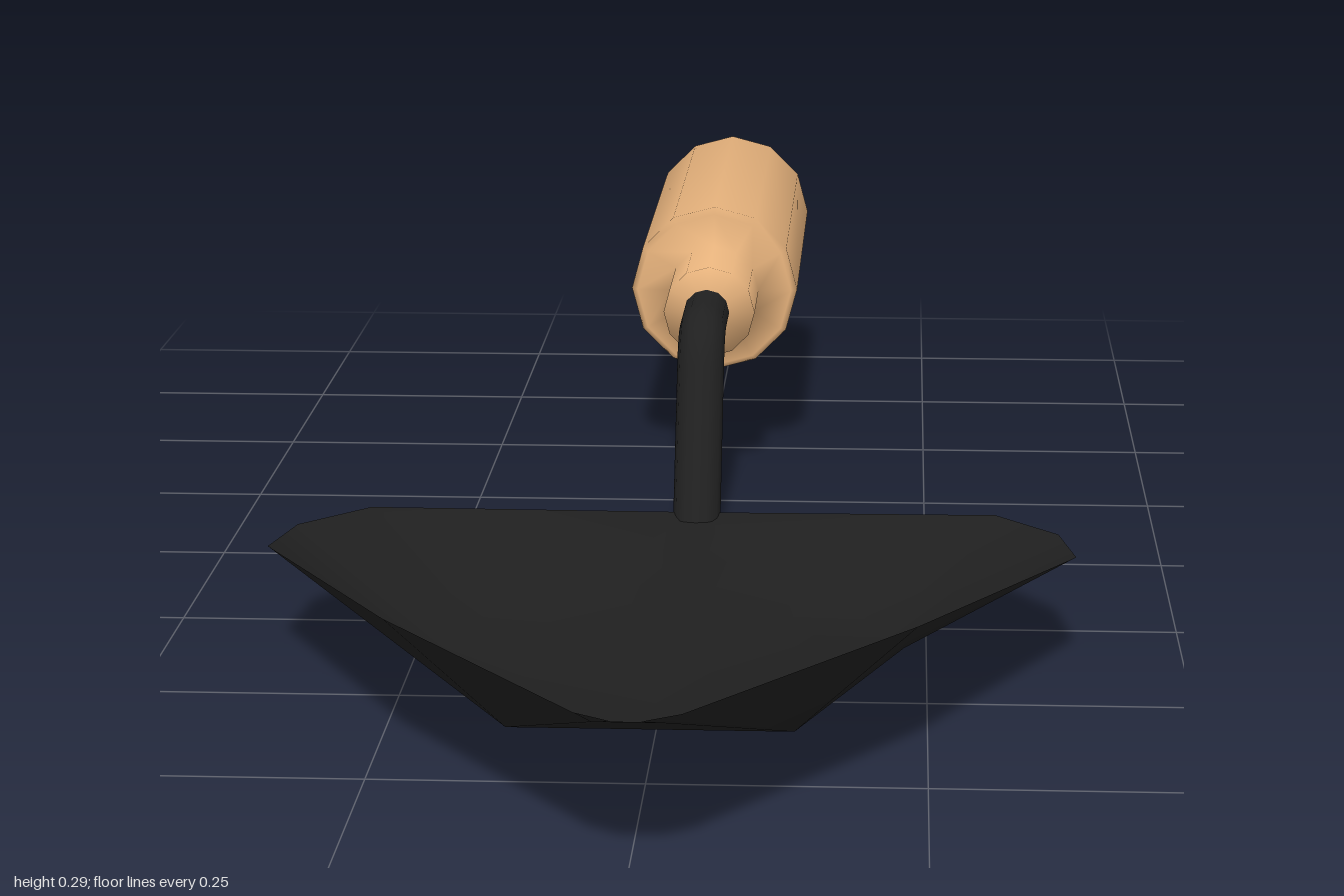
import * as THREE from 'three';

const steel = new THREE.MeshStandardMaterial({ color: 0x202020, side: THREE.DoubleSide });
const wood = new THREE.MeshStandardMaterial({ color: 0xe6b27c });

function add(group, name, geometry, material) {
  const mesh = new THREE.Mesh(geometry, material);
  mesh.name = name;
  group.add(mesh);
  return mesh;
}

// Dished sheet: each station is z, rim half width, rim y, floor half width, floor y
function bladeGeometry() {
  const stations = [
    [-0.15, 0.02, 0.011, 0.012, 0.006],
    [0, 0.165, 0.051, 0.05, 0.009],
    [0.15, 0.32, 0.091, 0.13, 0.011],
    [0.26, 0.38, 0.101, 0.185, 0.012],
    [0.37, 0.393, 0.108, 0.228, 0.014],
    [0.69, 0.24, 0.13, 0.13, 0.03],
    [0.98, 0.045, 0.137, 0.03, 0.129],
    [1, 0.02, 0.138, 0.012, 0.136],
  ];
  const positions = [], index = [];
  stations.forEach(([z, rx, ry, fx, fy], i) => {
    positions.push(-rx, ry, z, -fx, fy, z, 0, fy, z, fx, fy, z, rx, ry, z);
    if (i === 0) return;
    for (let j = 0; j < 4; j++) {
      const b = i * 5 + j, a = b - 5;
      index.push(a, b, b + 1, a, b + 1, a + 1);
    }
  });
  const g = new THREE.BufferGeometry();
  g.setAttribute('position', new THREE.Float32BufferAttribute(positions, 3));
  g.setIndex(index);
  g.computeVertexNormals();
  return g;
}

// Bent rod whose first ring is laid flat on the ground
function tangGeometry(foot, radius, sides) {
  const bendStart = new THREE.Vector3(0, 0.158, -0.226);
  const corner = new THREE.Vector3(0, 0.192, -0.246);
  const bendEnd = new THREE.Vector3(0, 0.192, -0.285);
  const path = new THREE.CurvePath();
  path.add(new THREE.LineCurve3(foot, bendStart));
  path.add(new THREE.QuadraticBezierCurve3(bendStart, corner, bendEnd));
  path.add(new THREE.LineCurve3(bendEnd, new THREE.Vector3(0, 0.192, -0.38)));
  const g = new THREE.TubeGeometry(path, 28, radius, sides);
  for (let i = 0; i <= sides; i++) g.attributes.position.setY(i, foot.y);
  return g;
}

export function createModel() {
  const model = new THREE.Group();
  model.name = 'trowel';

  add(model, 'blade', bladeGeometry(), steel);

  // Tang rising from the heel of the blade into the handle
  const foot = new THREE.Vector3(0, 0, -0.142);
  add(model, 'tang', tangGeometry(foot, 0.026, 12), steel);
  const cap = add(model, 'tangFoot', new THREE.CircleGeometry(0.025, 12), steel);
  cap.position.copy(foot);
  cap.rotation.x = Math.PI / 2;

  // Turned grip with a narrow collar, profile runs from the butt forward
  const profile = [
    [0, 0], [0.097, 0], [0.097, 0.505], [0.09, 0.515],
    [0.052, 0.515], [0.052, 0.64], [0, 0.64],
  ].map(([r, y]) => new THREE.Vector2(r, y));
  const handle = add(model, 'handle', new THREE.LatheGeometry(profile, 12), wood);
  handle.rotation.x = Math.PI / 2;
  handle.position.set(0.003, 0.192, -1);

  return model;
}
